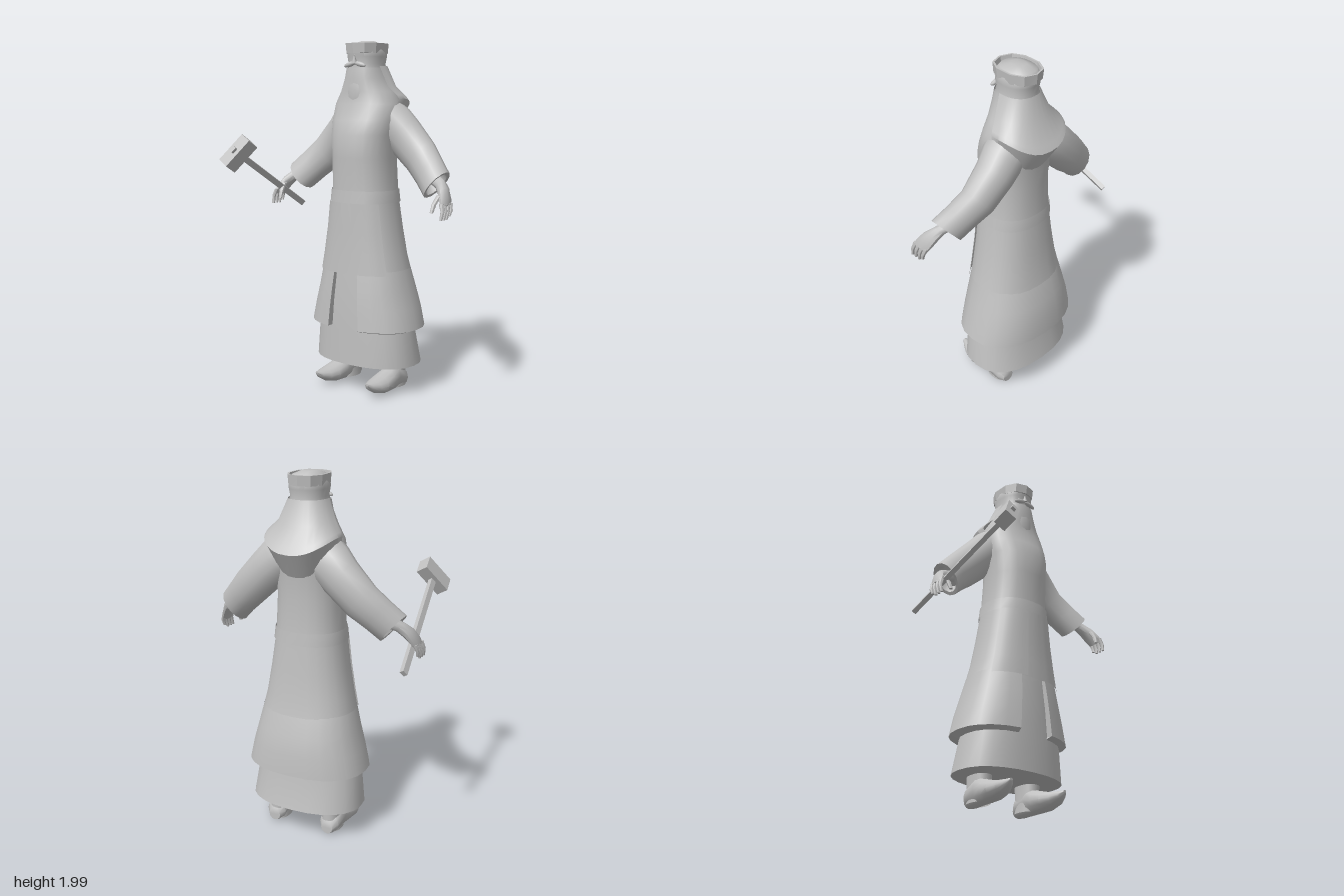
import * as THREE from 'three';
import { toCreasedNormals } from 'three/addons/utils/BufferGeometryUtils.js';

const V = (x, y, z) => new THREE.Vector3(x, y, z);
const TAU = Math.PI * 2;
const soft = (v) => Math.sign(v) * Math.abs(v) ** 0.86;

// Skins a surface over rings of points; optional caps close the ends
function loft(rings, { closed = true, capStart = false, capEnd = false, crease = 0.75 } = {}) {
  const n = rings[0].length, pos = [], idx = [];
  rings.forEach((r) => r.forEach((p) => pos.push(p.x, p.y, p.z)));
  for (let i = 0; i < rings.length - 1; i++) {
    for (let j = 0; j < (closed ? n : n - 1); j++) {
      const k = (j + 1) % n, a = i * n + j, b = i * n + k;
      idx.push(a, b, b + n, a, b + n, a + n);
    }
  }
  const cap = (i, flip) => {
    const c = rings[i].reduce((s, p) => s.add(p), V(0, 0, 0)).divideScalar(n);
    const m = pos.length / 3;
    pos.push(c.x, c.y, c.z);
    for (let j = 0; j < n; j++) {
      const a = i * n + j, b = i * n + ((j + 1) % n);
      if (flip) idx.push(m, b, a); else idx.push(m, a, b);
    }
  };
  if (capStart) cap(0, true);
  if (capEnd) cap(rings.length - 1, false);
  const g = new THREE.BufferGeometry();
  g.setAttribute('position', new THREE.Float32BufferAttribute(pos, 3));
  g.setIndex(idx);
  return toCreasedNormals(g, crease);
}

// Horizontal body section [y, half width, front z, back z], angle 0 at the front
function section([y, hx, zf, zb], angles, grow = 0) {
  const zc = (zf + zb) / 2, hz = (zf - zb) / 2 + grow;
  return angles.map((a) => V((hx + grow) * soft(Math.sin(a)), y, zc + hz * soft(Math.cos(a))));
}
const span = (a, b, n) => Array.from({ length: n + 1 }, (_, i) => a + ((b - a) * i) / n);
const around = span(0, TAU, 24).slice(0, 24);

// Oval section about a centre with two half axes
const oval = (c, u, w, n = 12) => Array.from({ length: n }, (_, i) => {
  const a = (i / n) * TAU;
  return c.clone().addScaledVector(u, Math.cos(a)).addScaledVector(w, Math.sin(a));
});

export function createModel() {
  const model = new THREE.Group();
  const grey = new THREE.MeshStandardMaterial({ color: 0xc0c0c0, side: THREE.DoubleSide });
  grey.name = 'plain grey';
  const add = (name, geometry, parent = model) => {
    const m = new THREE.Mesh(geometry, grey);
    m.name = name;
    parent.add(m);
    return m;
  };

  // Under robe with a closed hem
  add('underRobe', loft([
    [0.17, 0.325, 0.02, -0.42], [0.36, 0.3, 0.018, -0.38], [0.55, 0.26, 0.015, -0.37], [0.76, 0.22, 0, -0.34],
  ].map((s) => section(s, around)), { capStart: true }));

  // Robe body up to the neck
  const body = [
    [0.7, 0.265, 0.025, -0.385], [0.8, 0.242, 0.02, -0.365], [0.95, 0.215, 0.014, -0.35],
    [1.1, 0.194, 0.012, -0.335], [1.17, 0.186, 0.008, -0.33], [1.35, 0.178, 0.018, -0.325],
    [1.48, 0.188, 0.018, -0.335], [1.56, 0.2, -0.008, -0.345], [1.65, 0.198, -0.042, -0.345],
    [1.72, 0.155, -0.05, -0.325], [1.79, 0.116, -0.048, -0.3], [1.85, 0.104, -0.056, -0.29],
  ];
  add('robe', loft(body.map((s) => section(s, around)), { crease: 0.9 }));

  // Coat skirt, open in front, with returns along the opening and hem
  const coatAngles = span(0.26, TAU - 0.26, 22);
  const coat = [
    [0.365, 0.29, 0.0, -0.37], [0.385, 0.345, 0.055, -0.44], [0.5, 0.318, 0.048, -0.432],
    [0.6, 0.29, 0.04, -0.415], [0.72, 0.262, 0.024, -0.38],
  ].map((s) => {
    const r = section(s, coatAngles);
    const inner = (p) => V(p.x, p.y, p.z - 0.05);
    return [inner(r[0]), ...r, inner(r[r.length - 1])];
  });
  add('coatSkirt', loft(coat, { closed: false }));

  // Belt and hanging front panels lying on the robe
  add('belt', loft(body.slice(3, 5).map((s) => section(s, around, 0.006))));
  for (const [name, a, b] of [['leftPanel', 0.13, 1.0], ['rightPanel', -1.0, -0.13]]) {
    add(name, loft(body.slice(0, 4).map((s) => section(s, span(a, b, 6), 0.008)), { closed: false }));
  }

  // Hood cape: pointed at the middle of the back, tucked under to the robe
  const capeAngles = span(Math.PI * 0.45, Math.PI * 1.55, 16);
  const cape = [
    [1.46, 0.17, -0.05, -0.33, 0.1], [1.6, 0.205, -0.06, -0.418, 0.08],
    [1.63, 0.195, -0.06, -0.4, 0.07], [1.73, 0.15, -0.06, -0.335, 0.02], [1.86, 0.104, -0.06, -0.292, 0],
  ].map(([y, hx, zf, zb, rise]) => {
    const r = section([y, hx, zf, zb], capeAngles);
    r.forEach((p, i) => { p.y += rise * Math.sin(capeAngles[i]) ** 2; });
    return r;
  });
  add('hoodCape', loft(cape, { closed: false }));

  // Head, beard, moustache, nose and brow
  add('head', loft([
    [1.83, 0.104, -0.06, -0.29], [1.87, 0.093, -0.068, -0.282], [1.91, 0.1, -0.06, -0.29],
    [1.95, 0.098, -0.055, -0.295], [1.98, 0.08, -0.08, -0.275], [1.998, 0.035, -0.14, -0.22],
  ].map((s) => section(s, around)), { capEnd: true }));
  const beard = add('beard', new THREE.SphereGeometry(1, 16, 12));
  beard.scale.set(0.085, 0.17, 0.065);
  beard.position.set(0, 1.7, -0.108);
  const nose = add('nose', new THREE.ConeGeometry(0.016, 0.05, 6));
  nose.position.set(0, 1.9, -0.058);
  for (const s of [-1, 1]) {
    const half = add(s > 0 ? 'leftMoustache' : 'rightMoustache', new THREE.SphereGeometry(1, 10, 6));
    half.scale.set(0.042, 0.014, 0.014);
    half.position.set(s * 0.036, 1.868, -0.062);
    half.rotation.z = -s * 0.25;
  }

  // Faceted headband, open at the top
  const bandAngles = span(0, TAU, 10).slice(0, 10);
  add('headband', loft([
    [1.93, 0.09, -0.055, -0.295], [1.93, 0.1, -0.045, -0.305], [1.985, 0.105, -0.04, -0.31],
    [1.985, 0.094, -0.05, -0.3], [1.955, 0.09, -0.055, -0.295],
  ].map((s) => section(s, bandAngles)), { crease: 0.2 }));

  // Arms, hands and boots, mirrored
  const U = V(0.65, 0.757, 0), Z = V(0, 0, 1), X = V(1, 0, 0), Y = V(0, 1, 0);
  const finger = (pts, r, parent, name) => add(name, loft(
    pts.map((p, i) => oval(V(...p), X.clone().multiplyScalar(r * (1 - i * 0.2)), Z.clone().multiplyScalar(r * (1 - i * 0.2)), 7)),
    { capStart: true, capEnd: true }), parent);

  for (const s of [1, -1]) {
    const side = s > 0 ? 'left' : 'right';
    const limb = new THREE.Group();
    limb.name = side + 'Limbs';
    limb.scale.x = s;
    model.add(limb);

    add(side + 'Sleeve', loft([
      [0.09, 1.575, -0.21, 0.13, 0.115], [0.15, 1.535, -0.225, 0.125, 0.11], [0.215, 1.475, -0.238, 0.116, 0.1],
      [0.33, 1.362, -0.235, 0.108, 0.085], [0.41, 1.288, -0.2, 0.1, 0.082], [0.482, 1.218, -0.165, 0.097, 0.084],
      [0.48, 1.22, -0.166, 0.078, 0.066], [0.44, 1.26, -0.185, 0.06, 0.05],
    ].map(([x, y, z, ru, rz]) => oval(V(x, y, z), U.clone().multiplyScalar(ru), Z.clone().multiplyScalar(rz), 14)),
    { capEnd: true }), limb);

    // Wrist and palm
    add(side + 'Hand', loft([
      [0.44, 1.26, -0.185, 0.036, 0.036], [0.515, 1.225, -0.15, 0.032, 0.034], [0.553, 1.19, -0.125, 0.03, 0.048],
      [0.58, 1.145, -0.1, 0.024, 0.054], [0.592, 1.115, -0.088, 0.018, 0.046],
    ].map(([x, y, z, ru, rz]) => oval(V(x, y, z), U.clone().multiplyScalar(ru), Z.clone().multiplyScalar(rz), 10)),
    { capEnd: true }), limb);
    for (let i = 0; i < 4; i++) {
      const z = -0.13 + i * 0.027, drop = i === 0 ? 0.015 : 0;
      finger([[0.588, 1.135, z], [0.602, 1.095, z + 0.01], [0.598, 1.05 + drop, z + 0.02]], 0.014, limb, side + 'Finger');
    }
    finger([[0.555, 1.175, -0.08], [0.545, 1.13, -0.045], [0.54, 1.085, -0.028]], 0.017, limb, side + 'Thumb');

    // Boot shaft and curled foot
    add(side + 'BootShaft', loft([
      [0.02, 0.055, -0.16, -0.305], [0.1, 0.052, -0.15, -0.305], [0.3, 0.056, -0.15, -0.31],
    ].map(([y, hx, zf, zb]) => section([y, hx, zf, zb], around).map((p) => p.add(V(0.166, 0, 0))))), limb);
    add(side + 'BootFoot', loft([
      [-0.31, 0.01, 0.08, 0.035], [-0.28, 0.005, 0.12, 0.058], [-0.2, 0.005, 0.165, 0.06], [-0.14, 0.008, 0.135, 0.066],
      [-0.07, 0.012, 0.115, 0.07], [-0.01, 0.028, 0.104, 0.055], [0.035, 0.055, 0.1, 0.03], [0.06, 0.083, 0.1, 0.01],
    ].map(([z, y0, y1, hx]) => oval(V(0.168 + (z + 0.31) * 0.04, (y0 + y1) / 2, z),
      X.clone().multiplyScalar(hx), Y.clone().multiplyScalar((y1 - y0) / 2))), { capStart: true, capEnd: true }), limb);
  }

  // Hammer held in the right hand
  const hammer = new THREE.Group();
  hammer.name = 'hammer';
  const butt = V(-0.595, 1.03, -0.29), tip = V(-0.478, 1.405, 0.425);
  const d = tip.clone().sub(butt).normalize();
  const l = V(0.49, 0.74, -0.47);
  l.addScaledVector(d, -l.dot(d)).normalize();
  const w = d.clone().cross(l);
  hammer.quaternion.setFromRotationMatrix(new THREE.Matrix4().makeBasis(l, w, d));
  hammer.position.copy(butt);
  const len = butt.distanceTo(tip);
  add('hammerHandle', new THREE.BoxGeometry(0.034, 0.026, len), hammer).position.z = len / 2;
  add('hammerHead', new THREE.BoxGeometry(0.19, 0.072, 0.09), hammer).position.z = len - 0.062;
  model.add(hammer);
  return model;
}
